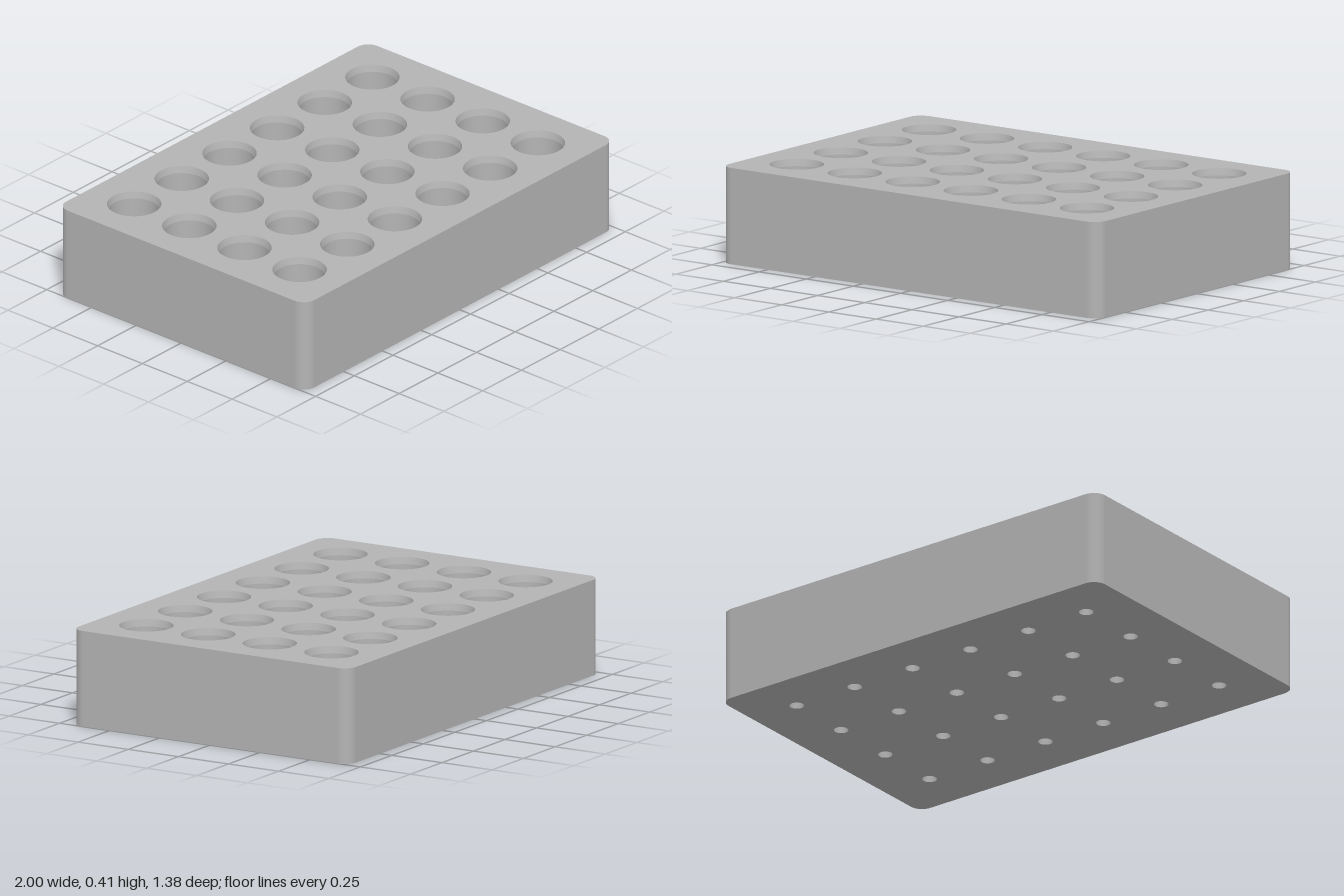
import * as THREE from 'three';
import { mergeGeometries } from 'three/addons/utils/BufferGeometryUtils.js';

const HALF_X = 1, HALF_Z = 0.692, HEIGHT = 0.415, CORNER = 0.058;
const PITCH = 0.3077, COLS = 6, ROWS = 4, SEGMENTS = 48;
const RIM_R = 0.115, WELL_R = 0.1075, DRAIN_R = 0.031;
const RIM_DEPTH = 0.03, FLOOR_Y = 0.04;

// Centres of all wells
function wellCentres() {
  const list = [];
  for (let r = 0; r < ROWS; r++)
    for (let c = 0; c < COLS; c++)
      list.push([(c - (COLS - 1) / 2) * PITCH, (r - (ROWS - 1) / 2) * PITCH]);
  return list;
}

// Rounded rectangle outline with outward normals: [x, z, nx, nz]
function outline() {
  const points = [], steps = 8;
  [[1, 1], [-1, 1], [-1, -1], [1, -1]].forEach(([sx, sz], k) => {
    for (let i = 0; i <= steps; i++) {
      const a = (k + i / steps) * Math.PI / 2;
      const nx = Math.cos(a), nz = Math.sin(a);
      points.push([sx * (HALF_X - CORNER) + nx * CORNER, sz * (HALF_Z - CORNER) + nz * CORNER, nx, nz]);
    }
  });
  return points;
}

// Flat plate pierced by round holes, facing up or down
function piercedFace(radius, y, up) {
  const shape = new THREE.Shape(outline().map(([x, z]) => new THREE.Vector2(x, z)));
  for (const [x, z] of wellCentres()) {
    const ring = [];
    for (let i = 0; i < SEGMENTS; i++) {
      const a = -i / SEGMENTS * Math.PI * 2;
      ring.push(new THREE.Vector2(x + radius * Math.cos(a), z + radius * Math.sin(a)));
    }
    shape.holes.push(new THREE.Path(ring));
  }
  return new THREE.ShapeGeometry(shape).rotateX(up ? -Math.PI / 2 : Math.PI / 2).translate(0, y, 0);
}

// Outer wall as a smooth strip round the outline
function wallGeometry() {
  const pos = [], nor = [], index = [], pts = outline();
  pts.forEach(([x, z, nx, nz], i) => {
    pos.push(x, 0, z, x, HEIGHT, z);
    nor.push(nx, 0, nz, nx, 0, nz);
    const a = i * 2, b = ((i + 1) % pts.length) * 2;
    index.push(a, a + 1, b, b, a + 1, b + 1);
  });
  const g = new THREE.BufferGeometry();
  g.setAttribute('position', new THREE.Float32BufferAttribute(pos, 3));
  g.setAttribute('normal', new THREE.Float32BufferAttribute(nor, 3));
  g.setIndex(index);
  return g;
}

// Well lining: chamfered rim, straight bore, flat floor and drain, with sharp edges
function wellGeometry() {
  const profile = [
    [RIM_R, HEIGHT], [WELL_R, HEIGHT - RIM_DEPTH], [WELL_R, FLOOR_Y], [DRAIN_R, FLOOR_Y], [DRAIN_R, 0],
  ].map(([r, y]) => new THREE.Vector2(r, y));
  return mergeGeometries(profile.slice(1).map((p, i) => new THREE.LatheGeometry([profile[i], p], SEGMENTS)));
}

export function createModel() {
  const model = new THREE.Group();
  model.name = 'tubeRack';
  const grey = new THREE.MeshStandardMaterial({ color: 0xb4b4b4 });
  grey.name = 'grey';

  const add = (name, geometry) => {
    const mesh = new THREE.Mesh(geometry, grey);
    mesh.name = name;
    model.add(mesh);
    return mesh;
  };

  add('outerWall', wallGeometry());
  add('topFace', piercedFace(RIM_R, HEIGHT, true));
  add('bottomFace', piercedFace(DRAIN_R, 0, false));

  const well = wellGeometry();
  wellCentres().forEach(([x, z], i) => add(`well${i + 1}`, well).position.set(x, 0, z));
  return model;
}
